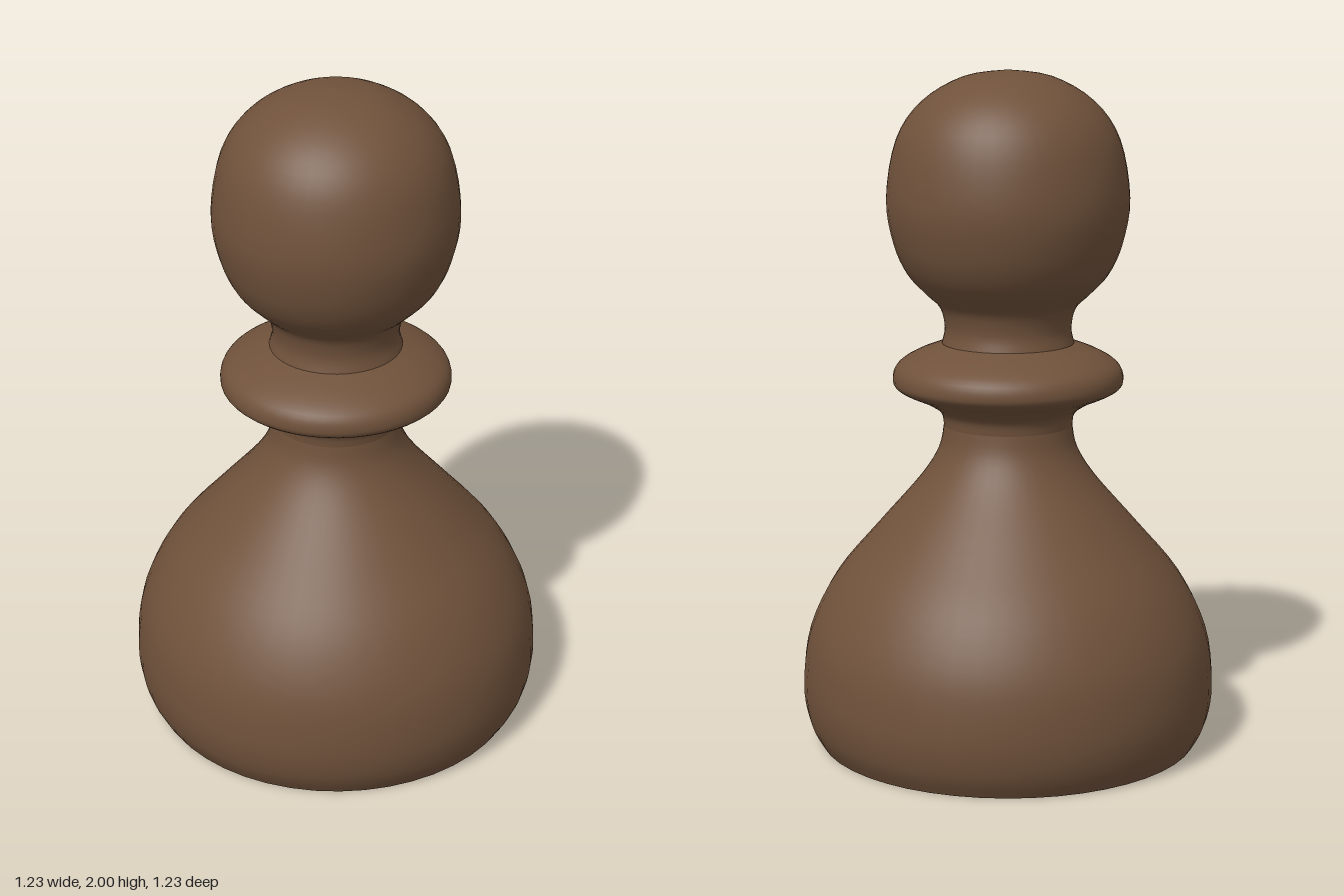
import * as THREE from 'three';

const SIDES = 48;

export function createModel() {
  const group = new THREE.Group();
  group.name = 'pawn';
  const wood = new THREE.MeshStandardMaterial({ color: 0x70523b });

  // Turns a smooth profile of [radius, height] points, bottom to top
  function turned(name, profile, steps) {
    const curve = new THREE.SplineCurve(profile.map(([r, y]) => new THREE.Vector2(r, y)));
    const points = curve.getPoints(steps);
    points.forEach((p) => { p.x = Math.max(0, p.x); });
    const mesh = new THREE.Mesh(new THREE.LatheGeometry(points, SIDES), wood);
    mesh.name = name;
    group.add(mesh);
  }

  // Bell-shaped body narrowing to the neck
  turned('body', [
    [0.565, 0], [0.6, 0.07], [0.615, 0.18], [0.593, 0.34], [0.515, 0.5],
    [0.39, 0.65], [0.26, 0.8], [0.205, 0.89], [0.19, 0.96],
  ], 32);

  // Flared collar ring
  turned('collar', [
    [0.19, 0.96], [0.2, 1.0], [0.25, 1.035], [0.325, 1.07], [0.34, 1.1],
    [0.325, 1.14], [0.27, 1.175], [0.19, 1.205],
  ], 28);

  // Short neck running into the round head
  turned('head', [
    [0.195, 1.205], [0.186, 1.25], [0.2, 1.31], [0.24, 1.35], [0.295, 1.41], [0.335, 1.5],
    [0.355, 1.63], [0.325, 1.8], [0.25, 1.91], [0.13, 1.98], [0, 2],
  ], 40);

  // Flat underside
  const base = new THREE.Mesh(new THREE.CircleGeometry(0.565, SIDES), wood);
  base.name = 'base';
  base.rotation.x = Math.PI / 2;
  group.add(base);

  return group;
}
